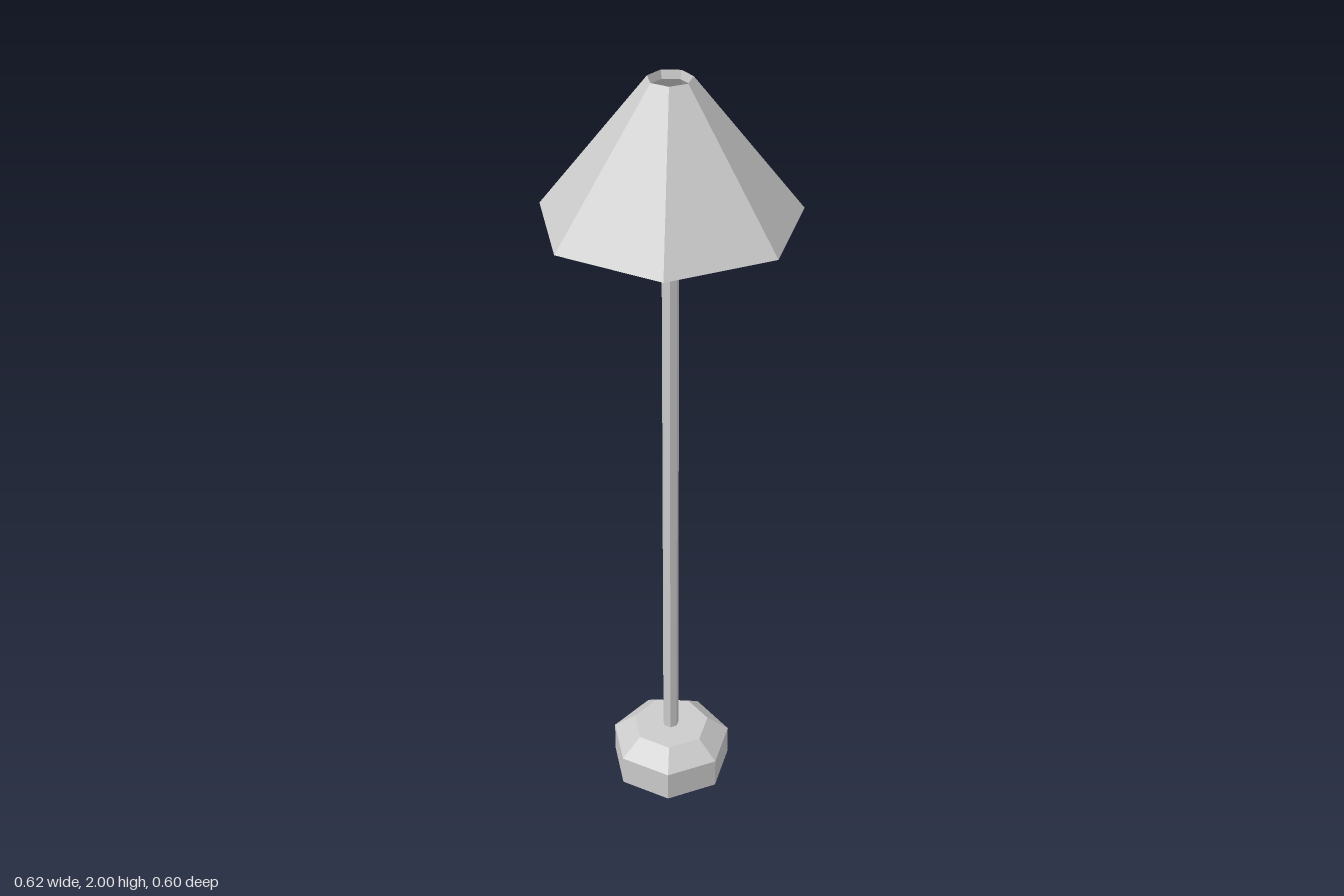
import * as THREE from 'three';

const SIDES = 7;

export function createModel() {
  const lamp = new THREE.Group();
  lamp.name = 'floorLamp';
  const material = new THREE.MeshStandardMaterial({ color: 0xcccccc, flatShading: true });

  // Seven-sided solid turned from [radius, height] points, flat side to the front
  function turned(name, profile) {
    const points = profile.map(([r, y]) => new THREE.Vector2(r, y));
    const mesh = new THREE.Mesh(new THREE.LatheGeometry(points, SIDES), material);
    mesh.name = name;
    mesh.rotation.y = Math.PI;
    mesh.position.z = 0.0157; // centres the odd-sided outline
    lamp.add(mesh);
  }

  // Weighted foot with a bevelled top
  turned('base', [[0, 0], [0.161, 0], [0.161, 0.085], [0.103, 0.132], [0, 0.132]]);

  // Slim pole ending just inside the shade
  turned('pole', [[0, 0.1], [0.021, 0.1], [0.021, 1.71], [0, 1.71]]);

  // Open shade: outer wall up, inner wall back down, sloped rims between
  turned('shade', [[0.317, 1.66], [0.053, 2], [0.048, 1.98], [0.288, 1.683], [0.317, 1.66]]);

  return lamp;
}
